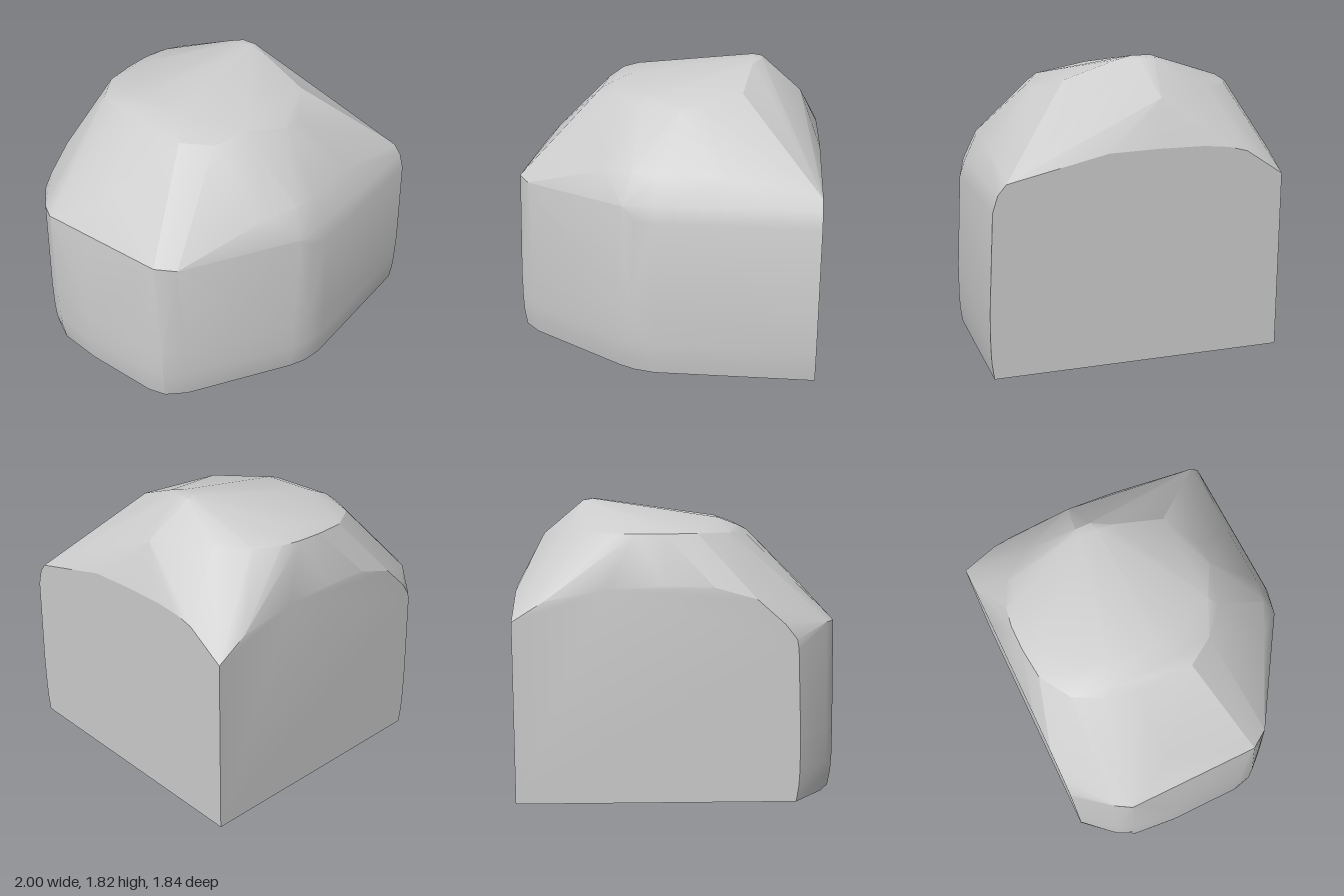
import * as THREE from 'three';
import { ConvexGeometry } from 'three/addons/geometries/ConvexGeometry.js';
import { toCreasedNormals } from 'three/addons/utils/BufferGeometryUtils.js';

// horizontal outline of the rounded walls, as [x, z], from the back edge round to the flat side
const wall = [
  [-0.72, -0.92], [-0.91, -0.72], [-0.97, -0.6], [-1, -0.3], [-1, 0.2],
  [-0.97, 0.32], [-0.87, 0.43], [-0.25, 0.84], [-0.15, 0.89], [0, 0.92], [1, 0.92],
];

// wall levels: [y, inset of the rounded side]
const levels = [[0, 0.02], [0.1, 0.005], [0.2, 0], [0.4, 0], [1, 0.03]];

// one wall level, pulled inwards while the flat back and side stay in plane
function wallRing([y, inset]) {
  return wall.map(([x, z]) => new THREE.Vector3(
    x === 1 ? 1 : x + (x < -0.1 ? inset : 0),
    y,
    z === -0.92 ? z : z - Math.sign(z) * inset * Math.min(1, Math.abs(z)),
  ));
}

const toPoints = (list) => list.map((p) => new THREE.Vector3(...p));

export function createModel() {
  const group = new THREE.Group();
  group.name = 'cornerRock';

  const walls = levels.flatMap(wallRing);

  // corner where the two flat cuts meet
  const cutCorner = toPoints([[1, 0, -0.92], [1, 1.11, -0.92]]);

  // curved top edge of the flat side and of the flat back
  const sideEdge = toPoints([
    [1, 1.1, 0.86], [1, 1.16, 0.81], [1, 1.3, 0.2], [1, 1.31, -0.1],
    [1, 1.31, -0.4], [1, 1.295, -0.56], [1, 1.265, -0.68],
  ]);
  const backEdge = toPoints([
    [0.81, 1.23, -0.92], [0.45, 1.3, -0.92], [0.1, 1.32, -0.92],
    [-0.2, 1.31, -0.92], [-0.45, 1.24, -0.92], [-0.62, 1.09, -0.92], [-0.7, 0.94, -0.92],
  ]);

  // shoulder where the walls turn into the slope
  const shoulder = toPoints([
    [-0.9, 1.07, -0.7], [-0.96, 1.07, -0.6], [-0.96, 1.07, 0.27], [-0.88, 1.06, 0.39],
    [-0.2, 1.08, 0.83], [0, 1.1, 0.86], [-0.8, 1.26, -0.3],
    [-0.33, 1.25, 0.66], [-0.15, 1.27, 0.75], [0, 1.27, 0.78], [0.4, 1.27, 0.78],
  ]);

  // rim of the crown
  const crownRim = toPoints([
    [0.7, 1.62, -0.55], [0.56, 1.62, -0.72], [0.4, 1.62, -0.8], [0.27, 1.62, -0.82],
    [0.1, 1.62, -0.82], [-0.1, 1.62, -0.8], [-0.3, 1.62, -0.68], [-0.4, 1.62, -0.5],
    [-0.44, 1.62, -0.3], [-0.44, 1.62, 0.06], [-0.32, 1.61, 0.24], [-0.15, 1.6, 0.39],
    [0.12, 1.6, 0.47], [0.27, 1.6, 0.47], [0.5, 1.6, 0.4],
  ]);

  // crown and peak
  const crown = toPoints([
    [-0.36, 1.66, -0.45], [-0.36, 1.66, 0], [-0.25, 1.7, -0.4], [-0.25, 1.7, -0.05],
    [-0.1, 1.65, 0.34], [0.5, 1.67, 0.33], [0.1, 1.66, -0.75], [0.4, 1.66, -0.73],
    [0.55, 1.79, 0], [0.55, 1.815, -0.1], [0.55, 1.815, -0.22], [0.57, 1.79, -0.3],
    [0.61, 1.805, -0.12], [0.61, 1.805, -0.22], [0.87, 1.59, -0.17],
  ]);

  const hull = new ConvexGeometry([
    ...walls, ...cutCorner, ...sideEdge, ...backEdge, ...shoulder, ...crownRim, ...crown,
  ]);
  const rock = new THREE.Mesh(
    toCreasedNormals(hull, 0.4),
    new THREE.MeshStandardMaterial({ color: 0xcccccc }),
  );
  rock.name = 'rock';
  group.add(rock);
  return group;
}
